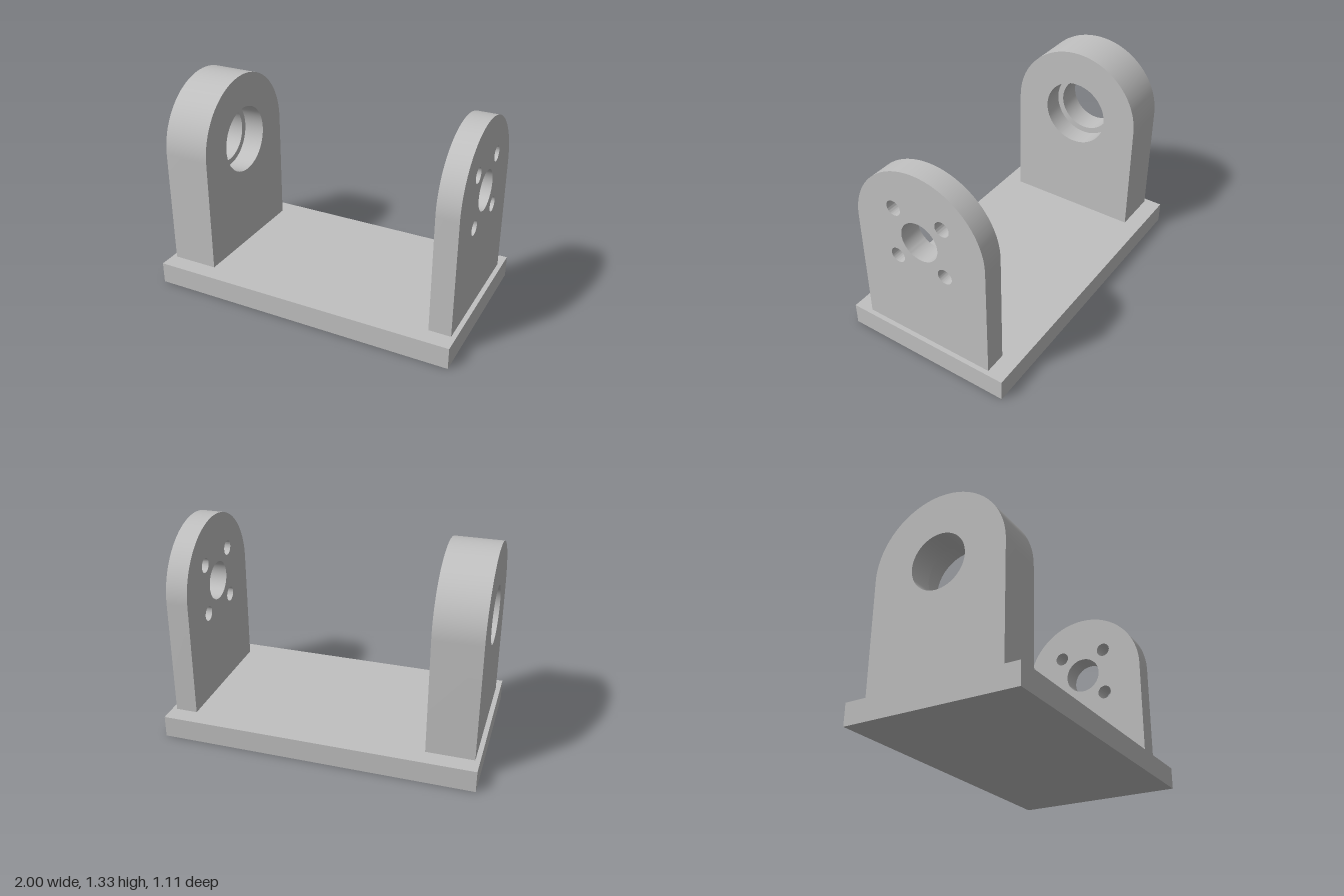
import * as THREE from 'three';
import { toCreasedNormals } from 'three/addons/utils/BufferGeometryUtils.js';

const BASE_H = 0.14, R = 0.442, AXIS_Y = 0.885, SEG = 32;

// Round-topped upright outline, with round holes given as [x, y, radius]
function uprightShape(holes) {
  const s = new THREE.Shape();
  s.moveTo(-R, BASE_H);
  s.lineTo(R, BASE_H);
  s.lineTo(R, AXIS_Y);
  s.absarc(0, AXIS_Y, R, 0, Math.PI, false);
  s.closePath();
  for (const [x, y, r] of holes) {
    const h = new THREE.Path();
    h.absarc(x, y, r, 0, Math.PI * 2, true);
    s.holes.push(h);
  }
  return s;
}

export function createModel() {
  const model = new THREE.Group();
  model.name = 'shaftBracket';
  const grey = new THREE.MeshStandardMaterial({ color: 0xc0c0c0 });
  grey.name = 'plain grey';

  function add(parent, name, geometry, x = 0, y = 0) {
    const mesh = new THREE.Mesh(geometry, grey);
    mesh.name = name;
    mesh.position.set(x, y, 0);
    parent.add(mesh);
  }

  // Base plate
  add(model, 'basePlate', new THREE.BoxGeometry(2, BASE_H, 1.11), 0, BASE_H / 2);

  // Thin motor upright: shaft hole and four screw holes
  const d = 0.166;
  const holes = [[0, AXIS_Y, 0.126]];
  for (const sx of [-1, 1])
    for (const sy of [-1, 1]) holes.push([sx * d, AXIS_Y + sy * d, 0.048]);
  const thin = new THREE.ExtrudeGeometry(uprightShape(holes), {
    depth: 0.14, bevelEnabled: false, curveSegments: SEG,
  }).rotateY(Math.PI / 2);
  add(model, 'motorUpright', toCreasedNormals(thin, 0.6), 0.83);

  // Thick bearing upright: outer walls, two faces and a stepped bore
  const width = 0.3, seatDepth = 0.14, seatR = 0.22, boreR = 0.18;
  const bearing = new THREE.Group();
  bearing.name = 'bearingUpright';
  bearing.position.x = -0.97;
  model.add(bearing);

  const solid = new THREE.ExtrudeGeometry(uprightShape([]), {
    depth: width, bevelEnabled: false, curveSegments: SEG,
  });
  // Keep only the side walls of the extrusion
  const { start, count } = solid.groups[1];
  const walls = new THREE.BufferGeometry();
  walls.setAttribute('position', new THREE.BufferAttribute(
    solid.attributes.position.array.slice(start * 3, (start + count) * 3), 3));
  walls.computeVertexNormals();
  add(bearing, 'bearingWalls', toCreasedNormals(walls.rotateY(Math.PI / 2), 0.6));

  const face = (r, turn) =>
    new THREE.ShapeGeometry(uprightShape([[0, AXIS_Y, r]]), SEG).rotateY(turn);
  add(bearing, 'bearingInnerFace', face(seatR, Math.PI / 2), width);
  add(bearing, 'bearingOuterFace', face(boreR, -Math.PI / 2), 0);

  // Bore profile runs from the wide seat to the narrow end
  const profile = [
    [seatR, width], [seatR, width - seatDepth],
    [boreR, width - seatDepth], [boreR, 0],
  ].map(([r, x]) => new THREE.Vector2(r, x));
  const bore = new THREE.LatheGeometry(profile, SEG * 2).rotateZ(-Math.PI / 2);
  add(bearing, 'bearingBore', toCreasedNormals(bore, 0.6), 0, AXIS_Y);

  return model;
}
